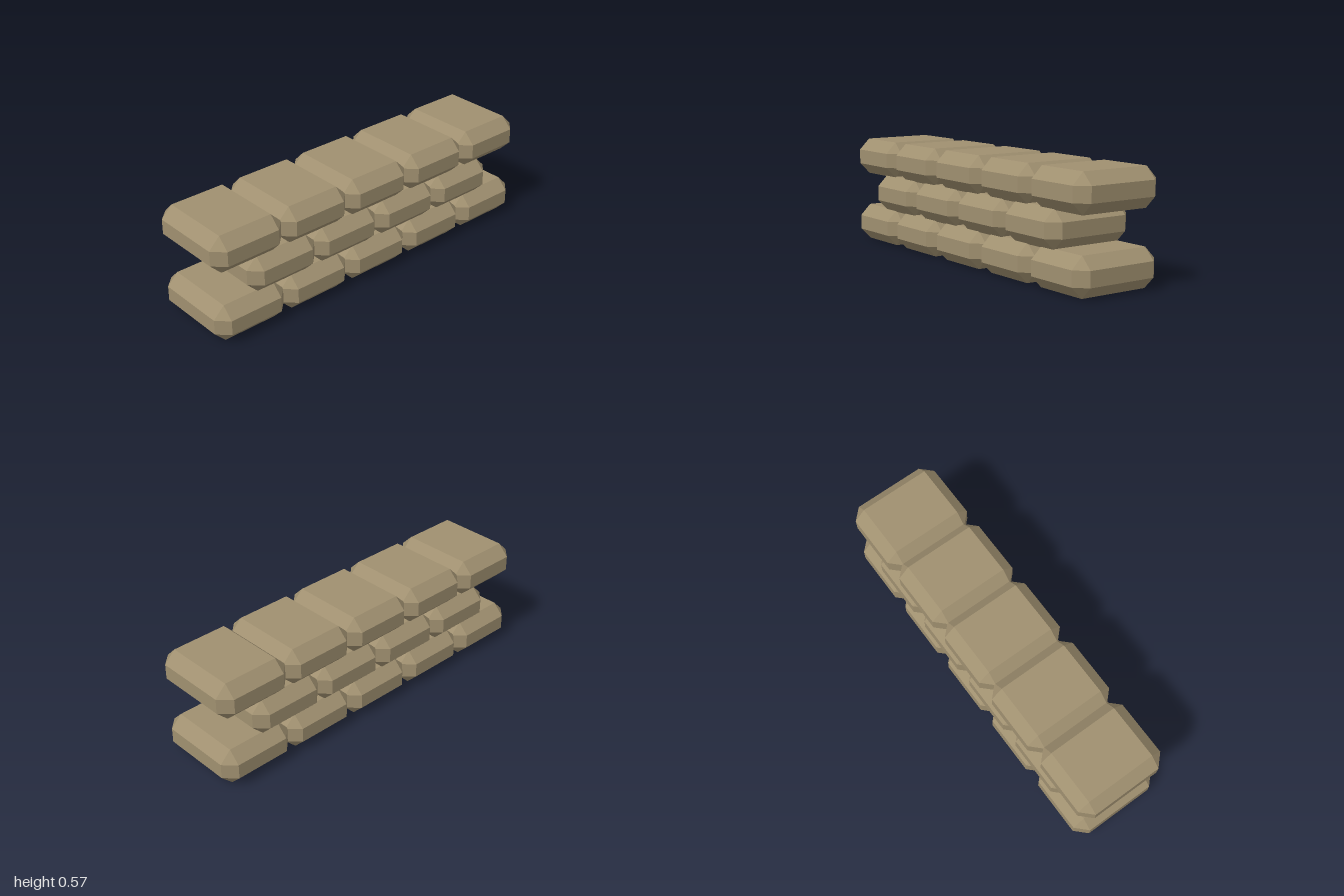
import * as THREE from 'three';
import { ConvexGeometry } from 'three/addons/geometries/ConvexGeometry.js';

// Box with every edge chamfered: three points per corner
function chamferedBox(hx, hy, hz, b) {
  const points = [];
  for (const sx of [-1, 1]) for (const sy of [-1, 1]) for (const sz of [-1, 1]) {
    points.push(
      new THREE.Vector3(sx * hx, sy * (hy - b), sz * (hz - b)),
      new THREE.Vector3(sx * (hx - b), sy * hy, sz * (hz - b)),
      new THREE.Vector3(sx * (hx - b), sy * (hy - b), sz * hz),
    );
  }
  return new ConvexGeometry(points);
}

export function createModel() {
  const model = new THREE.Group();
  model.name = 'sandbagWall';

  const burlap = new THREE.MeshStandardMaterial({ color: 0xa09070 });
  burlap.name = 'burlap';

  const bagGeometry = chamferedBox(0.205, 0.098, 0.248, 0.059);
  const spacing = 0.3975;
  const rowStep = 0.188;

  // Staggered rows of bags, bottom to top
  [5, 4, 5].forEach((count, row) => {
    const rowGroup = new THREE.Group();
    rowGroup.name = ['bottomRow', 'middleRow', 'topRow'][row];
    rowGroup.position.y = 0.098 + row * rowStep;
    for (let i = 0; i < count; i++) {
      const bag = new THREE.Mesh(bagGeometry, burlap);
      bag.name = `sandbag${i + 1}`;
      bag.position.x = (i - (count - 1) / 2) * spacing;
      rowGroup.add(bag);
    }
    model.add(rowGroup);
  });

  return model;
}
